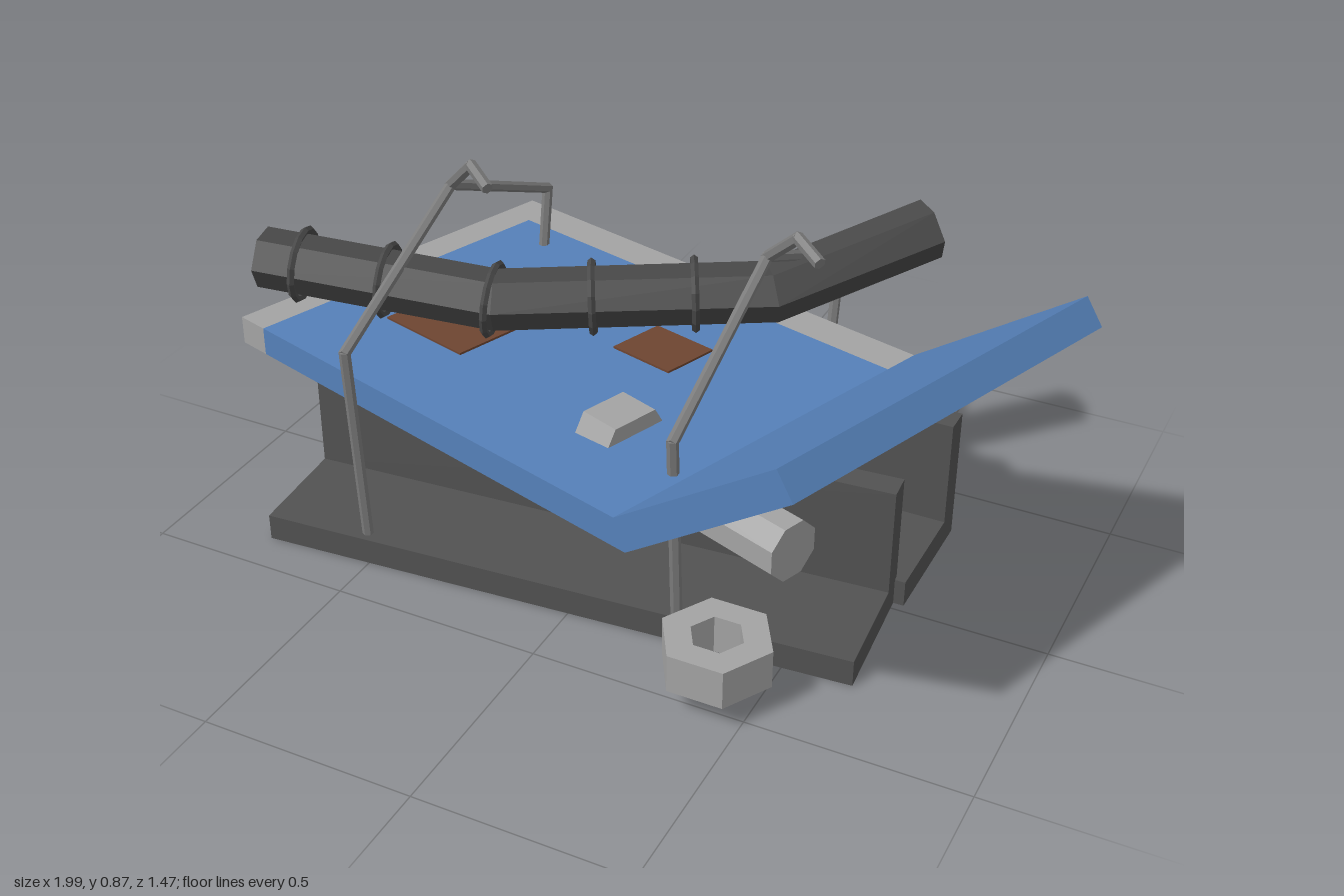
import * as THREE from 'three';

const mat = (name, color, extra = {}) => {
  const m = new THREE.MeshStandardMaterial({ color, flatShading: true, ...extra });
  m.name = name;
  return m;
};

export function createModel() {
  const model = new THREE.Group();
  model.name = 'scrapPile';
  const blue = mat('blue paint', 0x5580b8);
  const bare = mat('bare metal', 0xa3a3a3);
  const wire = mat('wire grey', 0x7c7c7c);
  const iron = mat('dark iron', 0x525252);
  const pipeDark = mat('dark pipe', 0x484848);
  const rust = mat('rust brown', 0x6e4531);

  const add = (parent, name, geo, m) => {
    const mesh = new THREE.Mesh(geo, m);
    mesh.name = name;
    parent.add(mesh);
    return mesh;
  };
  const V = (x, y, z) => new THREE.Vector3(x, y, z);
  const polygon = pts => new THREE.Shape(pts.map(p => new THREE.Vector2(p[0], p[1])));
  const hexPoints = (r, turn) => Array.from({ length: 6 }, (_, i) => {
    const a = turn + i * Math.PI / 3;
    return new THREE.Vector2(r * Math.cos(a), r * Math.sin(a));
  });
  const rod = (parent, name, a, b, r, m) => {
    const mesh = add(parent, name, new THREE.CylinderGeometry(r, r, a.distanceTo(b) + r * 0.8, 6), m);
    mesh.position.copy(a).lerp(b, 0.5);
    mesh.quaternion.setFromUnitVectors(V(0, 1, 0), b.clone().sub(a).normalize());
  };

  // Two angle irons on the ground: tall wall at the back, flange to the front
  const angleIron = (name, length, x, z, yaw) => {
    const w = 0.1625, t = 0.064, h = 0.326;
    const geo = new THREE.ExtrudeGeometry(
      polygon([[-w, 0], [w, 0], [w, h], [w - t, h], [w - t, t], [-w, t]]),
      { depth: length, bevelEnabled: false });
    geo.translate(0, 0, -length / 2).rotateY(Math.PI / 2);
    const mesh = add(model, name, geo, iron);
    mesh.position.set(x, 0, z);
    mesh.rotation.y = yaw;
  };
  angleIron('rearAngleIron', 1.54, -0.11, -0.183, 0);
  angleIron('frontAngleIron', 1.423, -0.0625, 0.183, 0.077);

  // Bent sheet, turned on the pile; its profile runs along x, its width along z
  const sheet = new THREE.Group();
  sheet.name = 'bentSheet';
  sheet.rotation.y = -Math.PI / 9;
  model.add(sheet);
  const bottomY = u => 0.33 + 0.0632 * (u + 0.89);
  const slab = (name, pts, z0, z1, m) => {
    const geo = new THREE.ExtrudeGeometry(polygon(pts), { depth: z1 - z0, bevelEnabled: false });
    geo.translate(0, 0, z0);
    add(sheet, name, geo, m);
  };
  const lower = (u0, u1, u1Top) => [
    [u0, bottomY(u0)], [u1, bottomY(u1)], [u1Top, bottomY(u1Top) + 0.07], [u0, bottomY(u0) + 0.07]];
  slab('lowerPanel', lower(-0.8, 0.454, 0.42), -0.37, 0.46, blue);
  slab('bareRearStrip', lower(-0.89, 0.454, 0.42), -0.46, -0.37, bare);
  slab('bareEndStrip', lower(-0.89, -0.8, -0.8), -0.37, 0.46, bare);
  slab('raisedPanel', [[0.454, bottomY(0.454)], [0.89, 0.75], [0.847, 0.805],
    [0.42, bottomY(0.42) + 0.07]], -0.46, 0.46, blue);

  // Rust patches showing on both faces of the sheet
  for (const [u, v, w, d] of [[-0.479, 0.132, 0.275, 0.195], [-0.015, -0.1, 0.18, 0.14]]) {
    const patch = add(sheet, 'rustPatch', new THREE.BoxGeometry(w, 0.08, d), rust);
    patch.position.set(u, bottomY(u) + 0.035, v);
    patch.rotation.z = Math.atan(0.0632);
  }

  // Bolt lying through the sheet
  const boltPart = (name, r, sides, u0, u1, turn) => {
    const geo = new THREE.CylinderGeometry(r, r, u1 - u0, sides, 1, false, turn);
    geo.rotateZ(-Math.PI / 2);
    add(sheet, name, geo, bare).position.set((u0 + u1) / 2, 0.407, 0.205);
  };
  boltPart('boltHead', 0.115, 6, 0.115, 0.215, 0);
  boltPart('boltShaft', 0.068, 8, 0.2, 0.672, Math.PI / 8);

  // Loose hexagonal nuts
  const nut = (name, r, h, turn, x, y, z) => {
    const shape = new THREE.Shape(hexPoints(r, turn));
    shape.holes.push(new THREE.Path(hexPoints(r * 0.48, turn).reverse()));
    const geo = new THREE.ExtrudeGeometry(shape, { depth: h, bevelEnabled: false });
    geo.rotateX(-Math.PI / 2);
    add(model, name, geo, bare).position.set(x, y, z);
  };
  nut('frontNut', 0.127, 0.092, 0, 0.41, 0.065, 0.443);
  nut('rearNut', 0.105, 0.08, Math.PI / 2 + 0.07, -0.645, 0, -0.625);

  // Bent hexagonal pipe built from mitred cross-sections
  const path = [V(-0.855, 0.63, 0.2), V(-0.32, 0.585, 0.068), V(0.235, 0.605, -0.212), V(0.505, 0.7, -0.487)];
  const dir = i => path[i + 1].clone().sub(path[i]).normalize();
  const sections = path.map((p, i) => {
    const before = dir(Math.max(i - 1, 0)), after = dir(Math.min(i, path.length - 2));
    const t = before.clone().add(after).normalize();
    const side = V(-t.z, 0, t.x).normalize();
    const up = side.clone().cross(t).normalize();
    const mitre = 1 / t.dot(before);
    return hexPoints(0.07, 0).map(h =>
      p.clone().addScaledVector(side, h.x * mitre).addScaledVector(up, h.y));
  });
  const corners = [];
  const tri = (a, b, c) => corners.push(...a.toArray(), ...b.toArray(), ...c.toArray());
  for (let k = 0; k < 6; k++) {
    const n = (k + 1) % 6;
    for (let i = 0; i < path.length - 1; i++) {
      const [a, b] = [sections[i], sections[i + 1]];
      tri(a[k], a[n], b[n]);
      tri(a[k], b[n], b[k]);
    }
    const last = path.length - 1;
    tri(path[0], sections[0][n], sections[0][k]);
    tri(path[last], sections[last][k], sections[last][n]);
  }
  // Keep the winding outward whichever way the section runs
  const first = V(corners[3] - corners[0], corners[4] - corners[1], corners[5] - corners[2])
    .cross(V(corners[6] - corners[0], corners[7] - corners[1], corners[8] - corners[2]));
  const outward = sections[0][0].clone().add(sections[0][1]).multiplyScalar(0.5).sub(path[0]);
  if (first.dot(outward) < 0) {
    for (let i = 0; i < corners.length; i += 9) {
      for (let j = 3; j < 6; j++) {
        [corners[i + j], corners[i + j + 3]] = [corners[i + j + 3], corners[i + j]];
      }
    }
  }
  const pipeGeo = new THREE.BufferGeometry();
  pipeGeo.setAttribute('position', new THREE.Float32BufferAttribute(corners, 3));
  pipeGeo.computeVertexNormals();
  add(model, 'bentPipe', pipeGeo, pipeDark);

  // Thin hoops around the pipe
  for (const x of [-0.76, -0.565, -0.325, -0.125, 0.08]) {
    const i = x < path[1].x ? 0 : 1;
    const p = path[i].clone().lerp(path[i + 1], (x - path[i].x) / (path[i + 1].x - path[i].x));
    const hoop = add(model, 'pipeHoop', new THREE.TorusGeometry(0.081, 0.009, 5, 14), pipeDark);
    hoop.position.copy(p);
    hoop.quaternion.setFromUnitVectors(V(0, 0, 1), dir(i));
  }

  // Two wire arches, each with a hook at the ridge
  for (const x of [-0.515, 0.275]) {
    const arch = new THREE.Group();
    arch.name = 'wireArch';
    arch.position.x = x;
    model.add(arch);
    const frame = [V(0, 0.015, 0.24), V(0, 0.015, 0.35), V(0, 0.56, 0.385), V(0, 0.765, -0.08),
      V(0, 0.562, -0.53), V(0, 0.015, -0.438), V(0, 0.015, -0.33)];
    // The front leg runs nearly upright from its foot
    for (let i = 0; i < frame.length - 1; i++) rod(arch, 'archWire', frame[i], frame[i + 1], 0.013, wire);
    const hook = [V(0, 0.765, -0.08), V(0.09, 0.855, -0.025), V(0.155, 0.835, 0.02)];
    for (let i = 0; i < 2; i++) rod(arch, 'archHook', hook[i], hook[i + 1], 0.014, wire);
  }
  return model;
}
